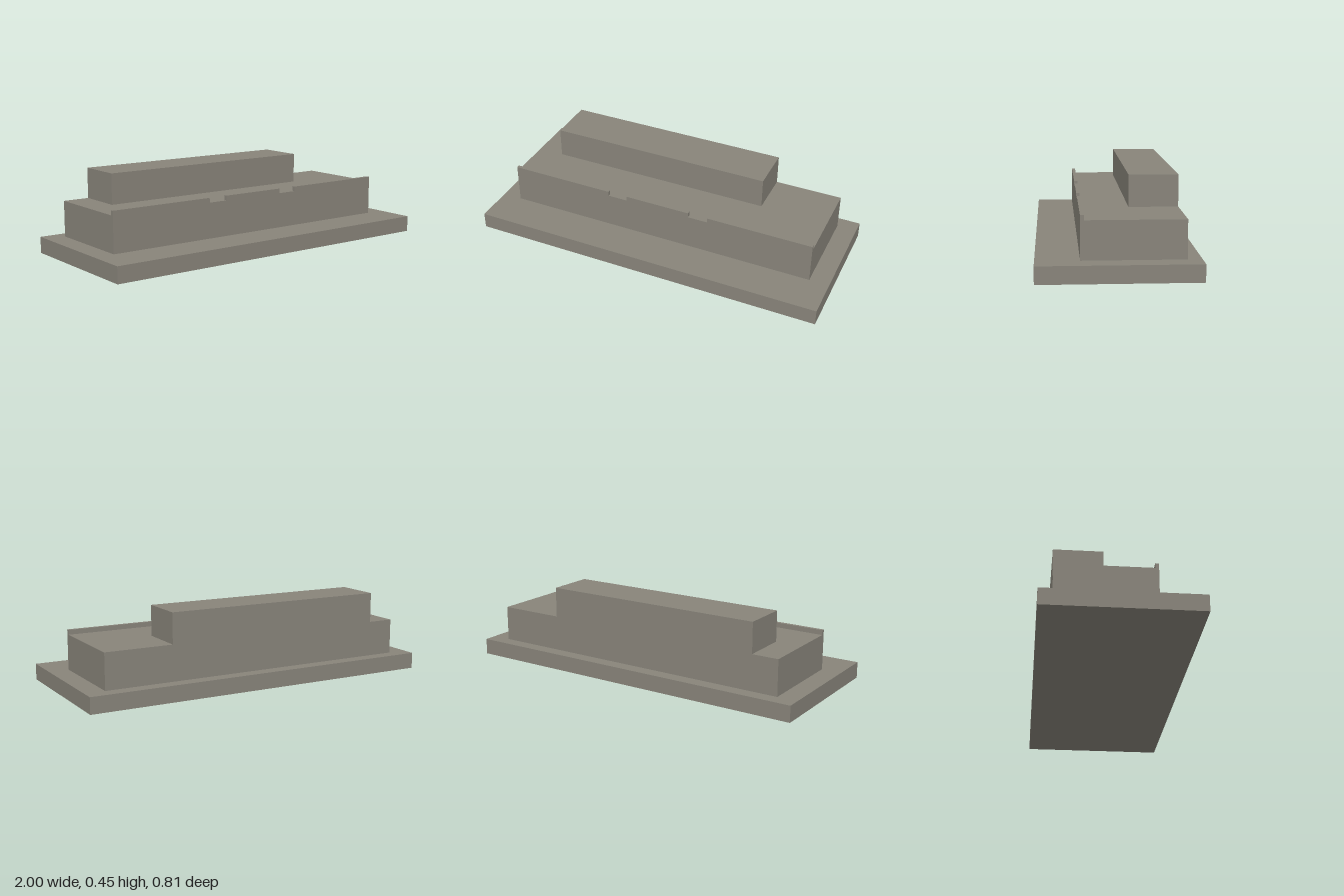
import * as THREE from 'three';

export function createModel() {
  const group = new THREE.Group();
  const stone = new THREE.MeshStandardMaterial({ color: 0x88847a });
  stone.name = 'warm grey stone';

  // Box given by its extents on each axis
  const block = (name, [x0, x1], [y0, y1], [z0, z1]) => {
    const mesh = new THREE.Mesh(new THREE.BoxGeometry(x1 - x0, y1 - y0, z1 - z0), stone);
    mesh.position.set((x0 + x1) / 2, (y0 + y1) / 2, (z0 + z1) / 2);
    mesh.name = name;
    group.add(mesh);
  };

  const baseTop = 0.089, roof = 0.285, back = -0.332, front = 0.185;

  block('basePlinth', [-1, 1], [0, baseTop], [-0.405, 0.405]);
  block('mainBlock', [-0.89, 0.89], [baseTop, roof], [back, front]);
  block('upperBlock', [-0.743, 0.514], [roof, 0.452], [back, -0.075]);

  // Thin front parapet, broken by two gaps
  const parapets = { rightParapet: [-0.89, -0.297], middleParapet: [-0.186, 0.186], leftParapet: [0.297, 0.89] };
  for (const [name, span] of Object.entries(parapets)) {
    block(name, span, [roof, 0.311], [0.166, front]);
  }

  return group;
}
